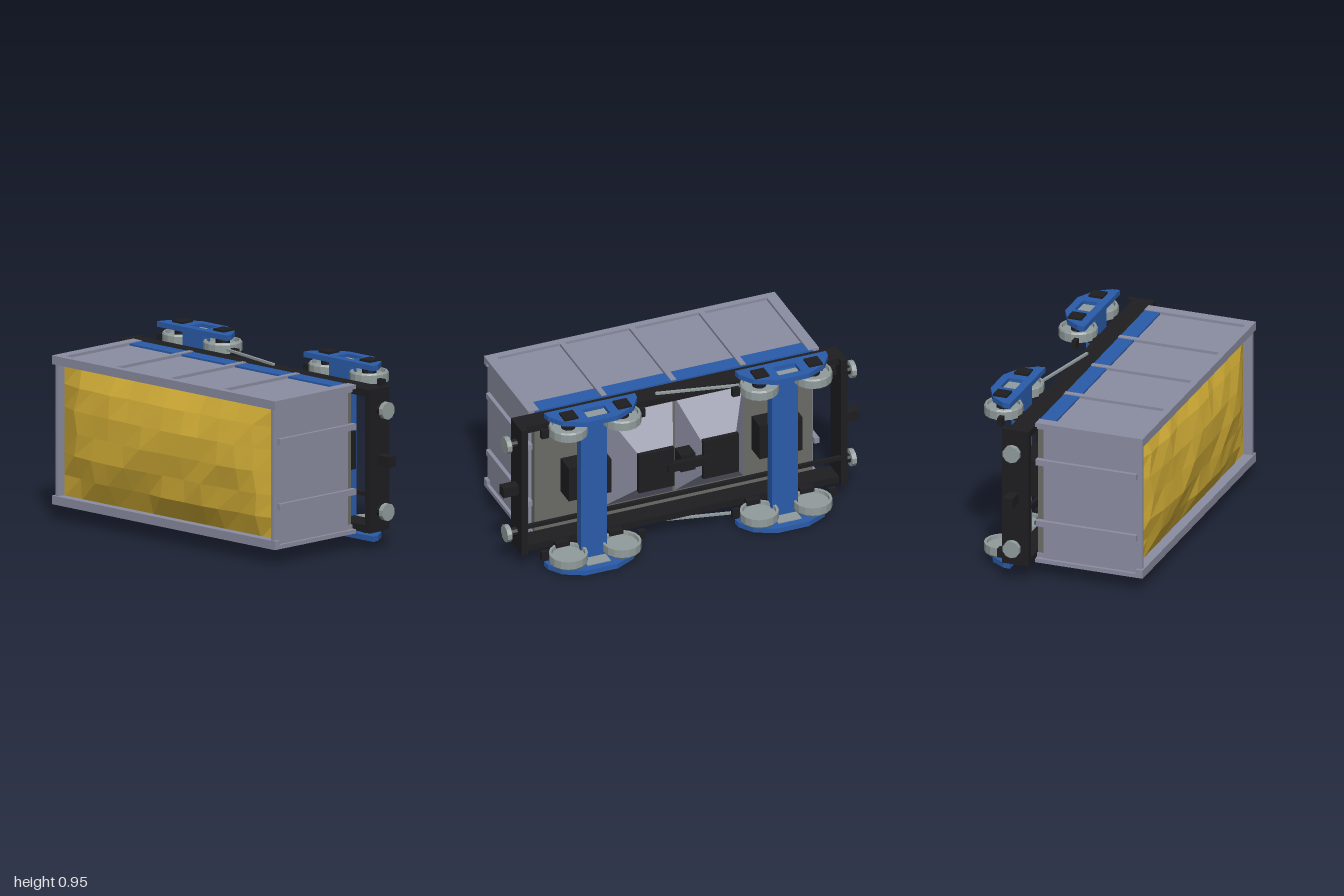
import * as THREE from 'three';

const mat = (color, extra = {}) => new THREE.MeshStandardMaterial({ color, flatShading: true, ...extra });
const BODY = mat(0x8b8da1), BLUE = mat(0x2a5caa), BLACK = mat(0x1e1e21);
const STEEL = mat(0x929c9c), FLOOR = mat(0x6b6b66);
const GOLD = mat(0xd4af37, { side: THREE.DoubleSide });

// The wagon is built upright (y up, x along its length) and then laid on its side.
export function createModel() {
  const model = new THREE.Group();
  const wagon = new THREE.Group();
  wagon.name = 'wagon';
  wagon.rotation.x = Math.PI / 2;
  wagon.position.y = 0.477;
  model.add(wagon);

  const add = (name, geo, material, parent = wagon) => {
    const m = new THREE.Mesh(geo, material);
    m.name = name;
    parent.add(m);
    return m;
  };
  // box given by its extents
  const box = (name, material, x0, x1, y0, y1, z0, z1, parent = wagon) => {
    const m = add(name, new THREE.BoxGeometry(Math.abs(x1 - x0), Math.abs(y1 - y0), Math.abs(z1 - z0)), material, parent);
    m.position.set((x0 + x1) / 2, (y0 + y1) / 2, (z0 + z1) / 2);
    return m;
  };

  // tub: floor, walls, rim and ribs
  box('floor', FLOOR, -0.78, 0.78, -0.148, -0.11, -0.372, 0.372);
  for (const s of [-1, 1]) {
    box('sideWall', BODY, -0.79, 0.79, -0.15, 0.437, s * 0.35, s * 0.378);
    box('endWall', BODY, s * 0.78, s * 0.797, -0.11, 0.437, -0.377, 0.377);
    box('sideRim', BODY, -0.815, 0.815, 0.407, 0.445, s * 0.347, s * 0.393);
    box('sideStripe', BLUE, -0.78, 0.78, -0.15, -0.063, s * 0.37, s * 0.388);
    for (const x of [-0.77, -0.39, 0, 0.39, 0.77])
      box('sideRib', BODY, x - 0.015, x + 0.015, -0.15, 0.41, s * 0.37, s * 0.393);
    for (const z of [-0.172, 0.172])
      box('endRib', BODY, s * 0.79, s * 0.818, -0.148, 0.41, z - 0.016, z + 0.016);
    for (const z of [-0.382, 0.382])
      box('cornerPost', BODY, s * 0.785, s * 0.815, -0.15, 0.41, z - 0.011, z + 0.011);
  }

  // heaped load: faceted dome with a seeded jitter
  let seed = 7;
  const rand = () => (seed = (seed * 16807) % 2147483647) / 2147483647;
  const load = new THREE.PlaneGeometry(1.57, 0.72, 12, 6);
  load.rotateX(-Math.PI / 2);
  const p = load.attributes.position;
  for (let i = 0; i < p.count; i++) {
    const u = p.getX(i) / 0.785, v = p.getZ(i) / 0.36;
    const dome = (1 - u ** 4) * (1 - v * v);
    const inner = Math.abs(u) < 0.99 && Math.abs(v) < 0.99 ? 1 : 0;
    p.setY(i, 0.385 + 0.07 * dome + inner * 0.022 * rand());
    p.setX(i, p.getX(i) + inner * 0.05 * (rand() - 0.5));
  }
  load.computeVertexNormals();
  add('load', load, GOLD);

  // chassis frame with buffers and couplers
  for (const s of [-1, 1]) {
    box('sideBeam', BLACK, -0.91, 0.91, -0.265, -0.15, s * 0.34, s * 0.378);
    box('endBeam', BLACK, s * 0.878, s * 0.913, -0.295, -0.15, -0.378, 0.378);
    box('coupler', BLACK, s * 0.9, s, -0.258, -0.205, -0.028, 0.028);
    for (const z of [-0.268, 0.268]) {
      for (const [name, r, x, len, m] of [['bufferStem', 0.025, 0.93, 0.05, BLACK], ['bufferHead', 0.047, 0.966, 0.026, STEEL]]) {
        const b = add(name, new THREE.CylinderGeometry(r, r, len, 10), m);
        b.rotation.z = Math.PI / 2;
        b.position.set(s * x, -0.222, z);
      }
    }
  }
  box('brakePipe', BLACK, -0.9, 0.9, -0.295, -0.275, 0.203, 0.223);

  // discharge hoppers: tapered boxes with an outlet gate under each
  for (const s of [-1, 1]) {
    const g = new THREE.BoxGeometry(1, 1, 1);
    const q = g.attributes.position;
    for (let i = 0; i < q.count; i++) {
      const top = q.getY(i) > 0, outer = q.getX(i) * s > 0;
      const x = top ? (outer ? 0.4 : 0) : (outer ? 0.27 : 0.08);
      q.setXYZ(i, s * x, top ? -0.13 : -0.335, Math.sign(q.getZ(i)) * (top ? 0.3 : 0.1));
    }
    g.computeVertexNormals();
    add('hopper', g, BODY);
    box('hopperGate', BLACK, s * 0.08, s * 0.28, -0.355, -0.33, -0.115, 0.115);
  }
  box('gateLink', BLACK, -0.12, 0.12, -0.365, -0.335, -0.025, 0.025);
  box('gateBracket', BLACK, -0.04, 0.04, -0.345, -0.26, -0.05, 0.05);

  // bogie side frame outline with a central window
  const outline = new THREE.Shape();
  [[-0.255, -0.3], [-0.25, -0.34], [-0.2, -0.415], [-0.09, -0.47], [0.09, -0.47], [0.2, -0.415], [0.25, -0.34], [0.255, -0.3]]
    .forEach(([x, y], i) => (i ? outline.lineTo(x, y) : outline.moveTo(x, y)));
  outline.closePath();
  const hole = new THREE.Path();
  [[-0.062, -0.345], [0.062, -0.345], [0.062, -0.428], [-0.062, -0.428]]
    .forEach(([x, y], i) => (i ? hole.lineTo(x, y) : hole.moveTo(x, y)));
  hole.closePath();
  outline.holes.push(hole);
  const frameGeo = new THREE.ExtrudeGeometry(outline, { depth: 0.028, bevelEnabled: false });

  // dished wheel: rim with a recessed disc
  const wheelGeo = new THREE.LatheGeometry(
    [[0, -0.008], [0.086, -0.008], [0.088, -0.027], [0.102, -0.027], [0.102, 0.018], [0.096, 0.027], [0.086, 0.027], [0.084, 0.008], [0, 0.008]]
      .map(([r, y]) => new THREE.Vector2(r, y)), 16);

  for (const cx of [-0.535, 0.535]) {
    const bogie = new THREE.Group();
    bogie.name = 'bogie';
    bogie.position.x = cx;
    wagon.add(bogie);
    box('bolster', BLUE, -0.073, 0.073, -0.36, -0.305, -0.445, 0.445, bogie);
    box('pivot', BLACK, -0.12, 0.12, -0.31, -0.2, -0.1, 0.1, bogie);
    for (const s of [-1, 1]) {
      add('sideFrame', frameGeo, BLUE, bogie).position.z = s > 0 ? 0.437 : -0.465;
      box('springPlate', STEEL, -0.065, 0.065, -0.43, -0.34, s * 0.432, s * 0.445, bogie);
      for (const x of [-0.15, 0.15]) {
        const wheel = add('wheel', wheelGeo, STEEL, bogie);
        wheel.rotation.x = s * Math.PI / 2;
        wheel.position.set(x, -0.375, s * 0.39);
        box('axleBox', BLACK, x - 0.038, x + 0.038, -0.42, -0.343, s * 0.43, s * 0.476, bogie);
        const stub = add('axleStub', new THREE.CylinderGeometry(0.038, 0.038, 0.05, 10), BLACK, bogie);
        stub.rotation.x = Math.PI / 2;
        stub.position.set(x, -0.375, s * 0.418);
        box('bearingPad', BLACK, x - 0.038, x + 0.038, -0.305, -0.262, s * 0.345, s * 0.372, bogie);
      }
      for (const e of [-1, 1])
        box('brakeShoe', BLACK, e * 0.25, e * 0.29, -0.357, -0.332, s * 0.345, s * 0.393, bogie);
    }
  }

  // slanted brake levers along both sides
  for (const s of [-1, 1]) {
    const lever = box('brakeLever', STEEL, -0.22, 0.22, -0.007, 0.007, -0.006, 0.006);
    lever.position.set(-0.08, -0.274, s * 0.386);
    lever.rotation.z = 0.21;
    lever.rotation.z *= Math.sign(lever.rotation.z);
  }
  return model;
}
